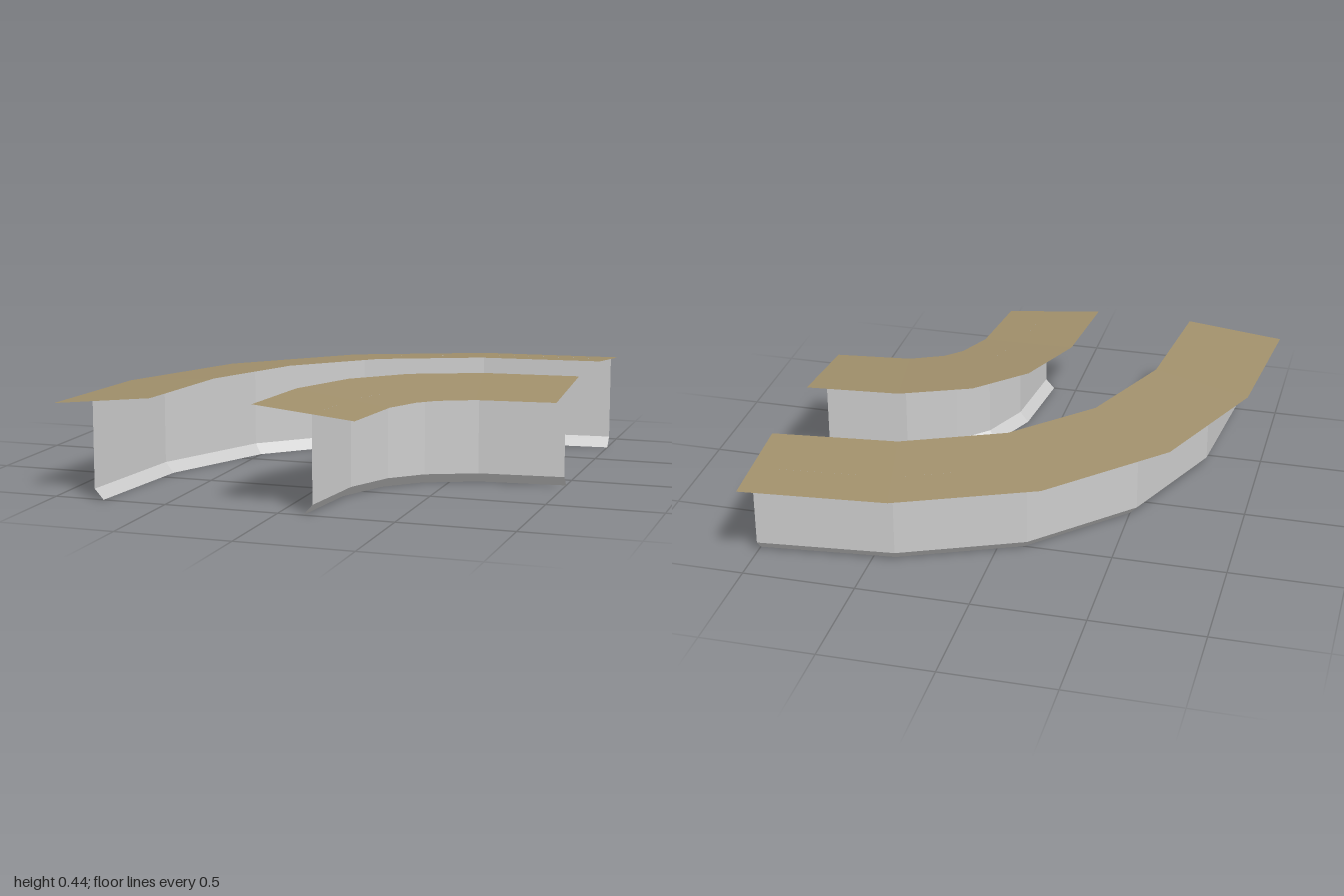
import * as THREE from 'three';

const roofBrown = new THREE.MeshStandardMaterial({ name: 'roofBrown', color: 0xa08f6b, side: THREE.DoubleSide, flatShading: true });
const wallGrey = new THREE.MeshStandardMaterial({ name: 'wallGrey', color: 0xcccccc, side: THREE.DoubleSide, flatShading: true });

// Half of each bend edge as distances from the corner (1, 1); the rest is mirrored on the diagonal
const bends = {
  outer: { far: [[2, 0], [1.94, 0.64], [1.69, 1.23]], near: [[1.56, 0], [1.5, 0.55], [1.31, 0.99]], farY: 0.4, nearY: 0.445 },
  inner: { far: [[1.11, 0], [1.07, 0.42], [0.94, 0.73]], near: [[0.67, 0], [0.63, 0.34], [0.56, 0.49]], farY: 0.445, nearY: 0.4 },
};

// Bend line at fraction t between the far and near edges, at height y
function bendLine(bend, t, y) {
  const half = bend.far.map(([x, z], i) => [
    THREE.MathUtils.lerp(x, bend.near[i][0], t),
    THREE.MathUtils.lerp(z, bend.near[i][1], t),
  ]);
  const full = [...half, ...half.map(([x, z]) => [z, x]).reverse()];
  return full.map(([x, z]) => [1 - x, y, 1 - z]);
}

// Faceted strip joining two bend lines
function strip(name, a, b, material) {
  const positions = [];
  for (let i = 0; i < a.length - 1; i++) {
    positions.push(...a[i], ...a[i + 1], ...b[i + 1], ...a[i], ...b[i + 1], ...b[i]);
  }
  const geometry = new THREE.BufferGeometry();
  geometry.setAttribute('position', new THREE.Float32BufferAttribute(positions, 3));
  geometry.computeVertexNormals();
  const mesh = new THREE.Mesh(geometry, material);
  mesh.name = name;
  return mesh;
}

export function createModel() {
  const model = new THREE.Group();
  model.name = 'curvedWalls';
  for (const [side, bend] of Object.entries(bends)) {
    const group = new THREE.Group();
    group.name = side + 'Wall';
    const at = (r) => (bend.far[0][0] - r) / (bend.far[0][0] - bend.near[0][0]);
    const wallT = at(side === 'outer' ? 1.82 : 0.85);
    const footT = at(side === 'outer' ? 1.78 : 0.89);
    const topY = THREE.MathUtils.lerp(bend.farY, bend.nearY, wallT);
    const base = bendLine(bend, wallT, 0.045);

    // Sloping coping on top
    group.add(strip(side + 'Coping', bendLine(bend, 1, bend.nearY), bendLine(bend, 0, bend.farY), roofBrown));
    // Upright wall sheet
    group.add(strip(side + 'Panel', base, bendLine(bend, wallT, topY), wallGrey));
    // Slanted foot turned in towards the lane
    group.add(strip(side + 'Foot', bendLine(bend, footT, 0), base, wallGrey));
    model.add(group);
  }
  return model;
}
